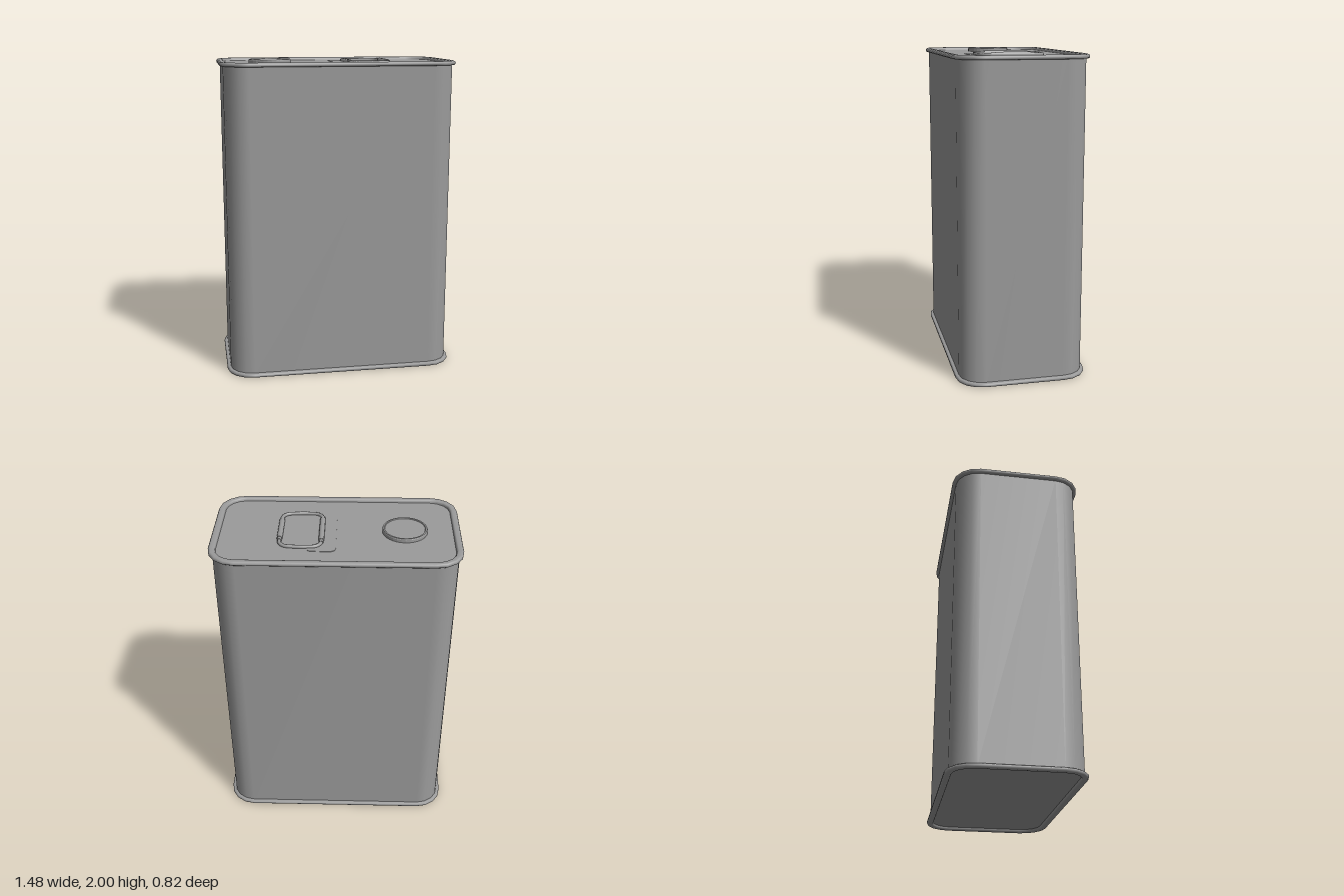
import * as THREE from 'three';

const CX = 0.575, CZ = 0.245; // centres of the can's rounded corners
const LID_Y = 1.976;

// Rounded-rectangle loft; each section is [corner radius, y, scale of corner centres]
function loft(sections, seg = 4) {
  const pos = [], idx = [];
  const n = 4 * (seg + 1);
  for (const [r, y, s = 1] of sections) {
    for (let q = 0; q < 4; q++) {
      const sx = q === 0 || q === 3 ? 1 : -1, sz = q < 2 ? 1 : -1;
      for (let k = 0; k <= seg; k++) {
        const a = (q + k / seg) * Math.PI / 2;
        pos.push(sx * CX * s + r * Math.cos(a), y, sz * CZ * s + r * Math.sin(a));
      }
    }
  }
  for (let i = 0; i < sections.length - 1; i++) {
    for (let j = 0; j < n; j++) {
      const a = i * n + j, b = i * n + (j + 1) % n, c = a + n, d = b + n;
      idx.push(a, c, b, b, c, d);
    }
  }
  const g = new THREE.BufferGeometry();
  g.setAttribute('position', new THREE.Float32BufferAttribute(pos, 3));
  g.setIndex(idx);
  g.computeVertexNormals();
  return g;
}

function roundedRect(x0, x1, z0, z1, r) {
  const s = new THREE.Shape();
  s.absarc(x1 - r, z1 - r, r, 0, Math.PI / 2);
  s.absarc(x0 + r, z1 - r, r, Math.PI / 2, Math.PI);
  s.absarc(x0 + r, z0 + r, r, Math.PI, Math.PI * 1.5);
  s.absarc(x1 - r, z0 + r, r, Math.PI * 1.5, Math.PI * 2);
  s.closePath();
  return s;
}

export function createModel() {
  const model = new THREE.Group();
  model.name = 'metalCan';
  const mat = new THREE.MeshStandardMaterial({ color: 0x9b9b9b });
  const add = (name, geo, parent = model) => {
    const m = new THREE.Mesh(geo, mat);
    m.name = name;
    parent.add(m);
    return m;
  };

  // Side walls
  add('body', loft([[0.145, 0.015], [0.145, 1.98]]));

  // Broad, nearly flat seams with recessed panels, same at both ends
  for (const top of [true, false]) {
    const end = new THREE.Group();
    end.name = top ? 'topEnd' : 'bottomEnd';
    add('seam', loft([
      [0.145, 1.968], [0.16, 1.969], [0.167, 1.975], [0.167, 1.985], [0.162, 1.992],
      [0.154, 1.995], [0.136, 1.994], [0.129, 1.991], [0.126, 1.985], [0.124, LID_Y],
    ]), end);
    add('panel', loft([[0.125, LID_Y], [0, LID_Y, 0]]), end);
    if (!top) {
      end.rotation.x = Math.PI;
      end.position.y = 1.995;
    }
    model.add(end);
  }

  // Low round filler cap with a raised border
  const capProfile = [[0.136, LID_Y], [0.136, 1.994], [0.133, 2], [0.124, 2], [0.121, 1.996], [0, 1.996]]
    .map(([x, y]) => new THREE.Vector2(x, y));
  const cap = add('fillerCap', new THREE.LatheGeometry(capProfile, 32).toNonIndexed());
  cap.geometry.computeVertexNormals();
  cap.position.x = -0.41;

  // Thin plate that holds the handle
  const plate = add('handlePlate', new THREE.ExtrudeGeometry(
    roundedRect(0, 0.174, -0.245, 0.25, 0.035), { depth: 0.003, bevelEnabled: false, curveSegments: 5 }));
  plate.rotation.x = -Math.PI / 2;
  plate.position.y = LID_Y;

  // Folded wire handle: a closed loop lying on the lid
  const handle = new THREE.Group();
  handle.name = 'handle';
  handle.position.set(0, 1.982, -0.004);
  const pts = roundedRect(0.088, 0.336, -0.198, 0.198, 0.055).getSpacedPoints(48).slice(0, -1)
    .map(p => new THREE.Vector3(p.x, 0, p.y + Math.sign(p.y) * 0.007 * Math.max(0, 1 - Math.abs(p.x - 0.2) / 0.11)));
  add('wireLoop', new THREE.TubeGeometry(new THREE.CatmullRomCurve3(pts, true), 72, 0.0115, 8, true), handle);

  // Hinge sleeve and grip sleeve, each with a thinner collar at both ends
  for (const [name, x, half] of [['hinge', 0.088, 0.13], ['grip', 0.336, 0.11]]) {
    const sleeve = add(name + 'Sleeve', new THREE.CylinderGeometry(0.017, 0.017, half * 2, 12), handle);
    sleeve.rotation.x = Math.PI / 2;
    sleeve.position.x = x;
    for (const s of [-1, 1]) {
      const collar = add(name + 'Collar', new THREE.CylinderGeometry(0.0138, 0.0138, 0.024, 12), handle);
      collar.rotation.x = Math.PI / 2;
      collar.position.set(x, 0, s * (half + 0.012));
    }
  }
  model.add(handle);

  return model;
}
